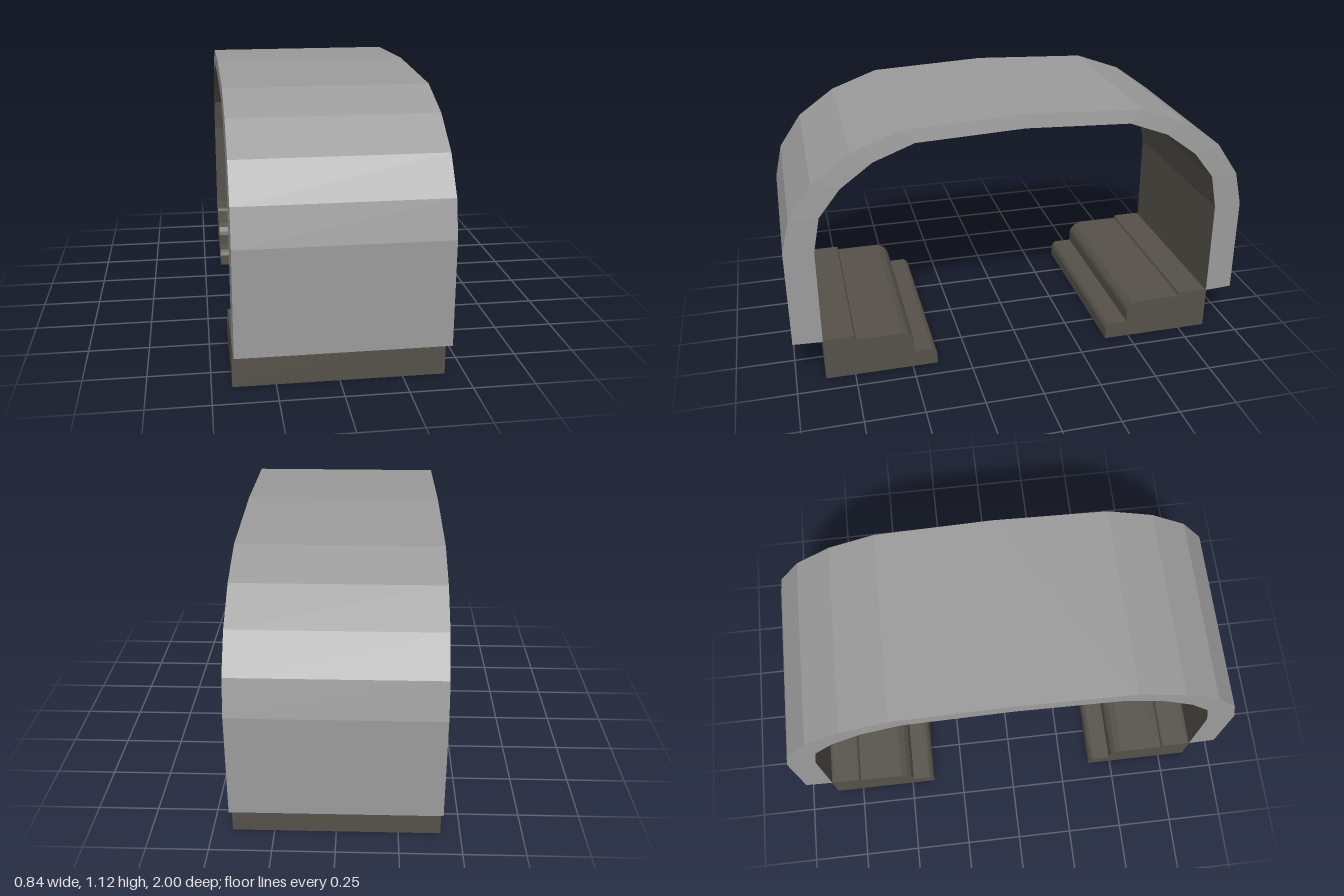
import * as THREE from 'three';

const grey = new THREE.MeshStandardMaterial({ color: 0x9b9b9b });
grey.name = 'shell grey';
const brown = new THREE.MeshStandardMaterial({ color: 0x55514a });
brown.name = 'dark brown';

// Half profiles as [z, y], from the foot up to the crown
const outerHalf = [[1, 0.185], [1, 0.61], [0.965, 0.76], [0.865, 0.905], [0.705, 1.02], [0.5, 1.095], [0, 1.118]];
const innerHalf = [[0.875, 0.185], [0.875, 0.61], [0.845, 0.76], [0.755, 0.875], [0.62, 0.975], [0.45, 1.04], [0, 1.06]];
const footProfile = [
  [0.875, 0], [0.39, 0], [0.39, 0.05], [0.397, 0.065], [0.41, 0.075], [0.49, 0.075],
  [0.49, 0.125], [0.496, 0.142], [0.513, 0.162], [0.54, 0.175],
  [0.737, 0.175], [0.742, 0.188], [0.75, 0.191], [0.865, 0.191], [0.875, 0.185],
];

// Complete a half profile by mirroring it across z
const mirrored = (half) => [...half, ...half.slice(0, -1).reverse().map(([z, y]) => [-z, y])];

// Flat-shaded mesh from a list of four-cornered faces
function quadMesh(name, quads, material) {
  const positions = quads.flatMap(([a, b, c, d]) => [a, b, c, a, c, d]).flat();
  const geometry = new THREE.BufferGeometry();
  geometry.setAttribute('position', new THREE.Float32BufferAttribute(positions, 3));
  geometry.computeVertexNormals();
  const mesh = new THREE.Mesh(geometry, material);
  mesh.name = name;
  return mesh;
}

function createArch() {
  const at = (x) => ([z, y]) => [x, y, z];
  // The outer skin is slightly narrower than the inner one
  const outer = mirrored(outerHalf), inner = mirrored(innerHalf);
  const outL = outer.map(at(0.41)), outR = outer.map(at(-0.416));
  const inL = inner.map(at(0.419)), inR = inner.map(at(-0.419));
  const shell = [], lining = [];
  const last = outer.length - 1;
  for (let i = 0; i < last; i++) {
    const j = i + 1;
    shell.push([outR[i], outL[i], outL[j], outR[j]]); // outer skin
    shell.push([outL[i], inL[i], inL[j], outL[j]]); // left rim
    shell.push([outR[j], inR[j], inR[i], outR[i]]); // right rim
    lining.push([inR[j], inL[j], inL[i], inR[i]]); // inner skin
  }
  // Undersides of the two legs
  shell.push([outR[0], inR[0], inL[0], outL[0]]);
  shell.push([inR[last], outR[last], outL[last], inL[last]]);

  const arch = new THREE.Group();
  arch.name = 'arch';
  arch.add(quadMesh('archShell', shell, grey), quadMesh('archLining', lining, brown));
  return arch;
}

// Stepped foot moulding, extruded along x
function createFoot(name, turn) {
  const shape = new THREE.Shape(footProfile.map(([z, y]) => new THREE.Vector2(z, y)));
  const geometry = new THREE.ExtrudeGeometry(shape, { depth: 0.84, bevelEnabled: false });
  geometry.translate(0, 0, -0.42);
  geometry.rotateY(-Math.PI / 2 + turn);
  const foot = new THREE.Mesh(geometry, brown);
  foot.name = name;
  return foot;
}

export function createModel() {
  const model = new THREE.Group();
  model.name = 'archOnFeet';
  model.add(createArch(), createFoot('frontFoot', 0), createFoot('backFoot', Math.PI));
  return model;
}
